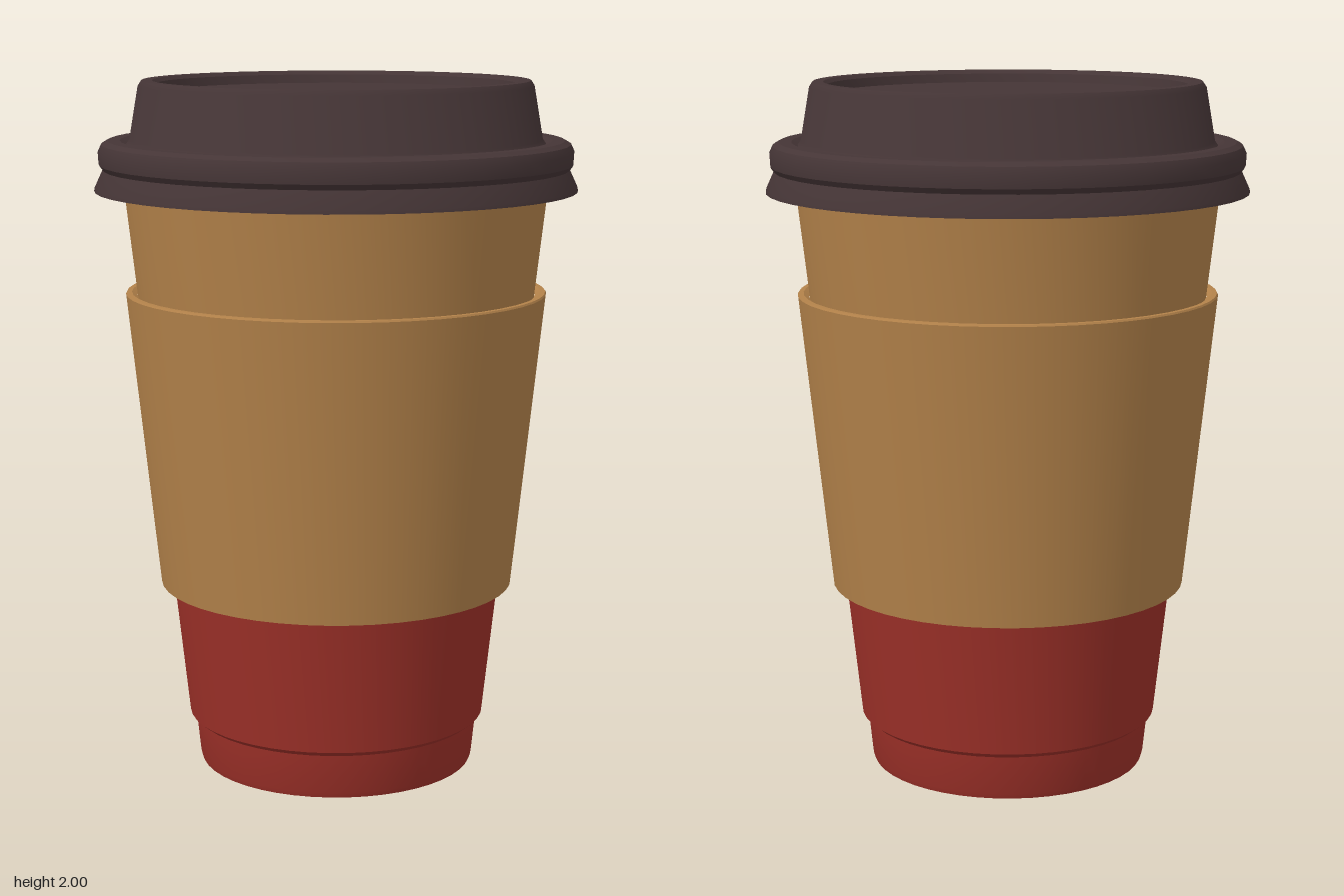
import * as THREE from 'three';
import { toCreasedNormals } from 'three/addons/utils/BufferGeometryUtils.js';

const SEGMENTS = 48;

export function createModel() {
  const model = new THREE.Group();
  model.name = 'coffeeCup';

  const material = (name, color) => {
    const m = new THREE.MeshStandardMaterial({ color });
    m.name = name;
    return m;
  };
  const red = material('red paper', 0x9c3028);
  const tan = material('tan card', 0xb3824a);
  const dark = material('dark plastic', 0x453536);

  // Turns a list of [radius, height] pairs, bottom to top, into a round part.
  const turned = (name, mat, profile) => {
    const points = profile.map(([r, y]) => new THREE.Vector2(r, y));
    const geometry = toCreasedNormals(new THREE.LatheGeometry(points, SEGMENTS), 0.5);
    const mesh = new THREE.Mesh(geometry, mat);
    mesh.name = name;
    model.add(mesh);
  };

  // Lower cup with its stepped foot; its top ledge closes the sleeve's underside.
  turned('cupBase', red, [
    [0, 0], [0.4, 0], [0.405, 0.015], [0.417, 0.13], [0.435, 0.145], [0.478, 0.54],
  ]);
  turned('sleeveUnderside', red, [[0.478, 0.541], [0.514, 0.541]]);

  // Upper cup wall between sleeve and lid
  turned('cupWall', tan, [[0.57, 1.38], [0.605, 1.69]]);

  // Card sleeve with a narrow top edge
  turned('sleeve', tan, [
    [0.515, 0.541], [0.605, 1.395], [0.602, 1.4], [0.588, 1.4], [0.572, 1.39],
  ]);

  // Lid: flared skirt, rolled bead, groove, raised crown and recessed top
  turned('lid', dark, [
    [0.56, 1.69], [0.69, 1.69], [0.688, 1.7], [0.665, 1.75], [0.676, 1.765],
    [0.678, 1.8], [0.668, 1.822], [0.65, 1.832], [0.615, 1.832], [0.597, 1.822],
    [0.588, 1.835], [0.562, 1.985], [0.552, 2], [0.522, 2], [0.512, 1.99],
    [0.505, 1.965], [0, 1.965],
  ]);

  return model;
}
